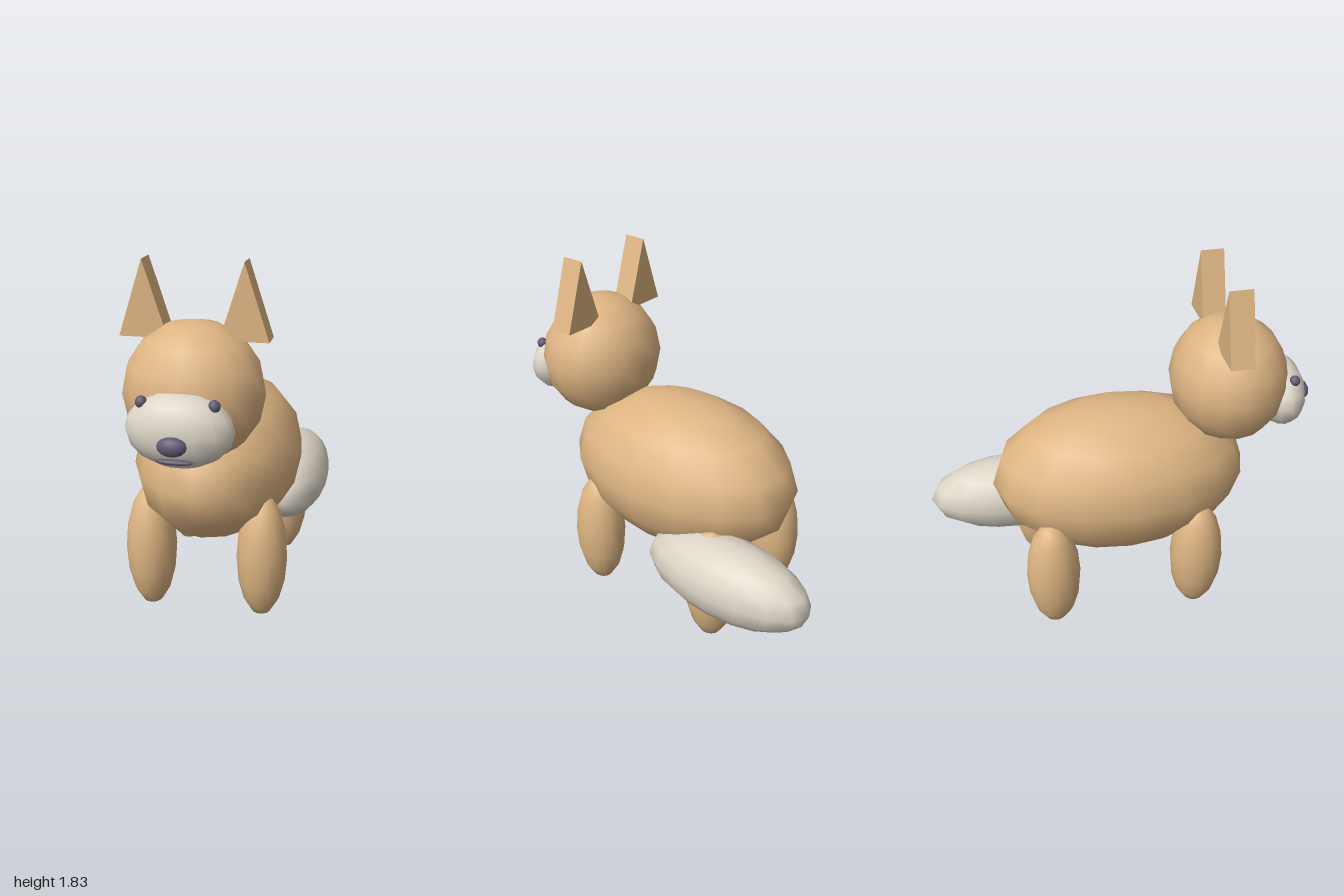
import * as THREE from 'three';

const tan = new THREE.MeshStandardMaterial({ color: 0xdeb583 });
tan.name = 'tan fur';
const cream = new THREE.MeshStandardMaterial({ color: 0xdcd4c6 });
cream.name = 'pale fur';
const dark = new THREE.MeshStandardMaterial({ color: 0x625a72 });
dark.name = 'dark features';

const MID = -0.05; // symmetry plane of the body; the tail hangs to one side

export function createModel() {
  const model = new THREE.Group();
  model.name = 'dog';

  const ball = new THREE.SphereGeometry(1, 16, 8);
  const add = (name, geometry, material, position) => {
    const mesh = new THREE.Mesh(geometry, material);
    mesh.name = name;
    mesh.position.set(...position);
    model.add(mesh);
    return mesh;
  };
  const ellipsoid = (name, material, position, radii) =>
    add(name, ball, material, position).scale.set(...radii);

  // Torso, head and tail
  ellipsoid('body', tan, [MID, 0.737, 0], [0.425, 0.403, 0.665]);
  ellipsoid('head', tan, [MID, 1.237, 0.56], [0.33, 0.328, 0.3]);
  ellipsoid('tail', cream, [0.265, 0.435, -0.525], [0.205, 0.21, 0.475]);

  // Face
  ellipsoid('muzzle', cream, [MID, 1.14, 0.825], [0.245, 0.172, 0.132]);
  ellipsoid('nose', dark, [MID, 1.11, 0.963], [0.066, 0.043, 0.037]);
  ellipsoid('mouth', dark, [MID, 1.03, 0.93], [0.085, 0.013, 0.02]);

  // Triangular ear with a flat front and back
  const earShape = new THREE.Shape();
  earShape.moveTo(-0.113, 0);
  earShape.lineTo(0.113, 0);
  earShape.lineTo(0, 0.35);
  earShape.closePath();
  const earGeometry = new THREE.ExtrudeGeometry(earShape, { depth: 0.118, bevelEnabled: false });

  // Paired parts
  for (const [side, s] of [['left', 1], ['right', -1]]) {
    ellipsoid(side + 'Eye', dark, [MID + s * 0.16, 1.264, 0.855], [0.027, 0.028, 0.027]);
    add(side + 'Ear', earGeometry, tan, [MID + s * 0.23, 1.475, 0.453]);
    for (const [end, z] of [['Front', 0.357], ['Back', -0.407]]) {
      ellipsoid(side + end + 'Leg', tan, [MID + s * 0.285, 0.33, z], [0.128, 0.33, 0.14]);
    }
  }
  return model;
}
